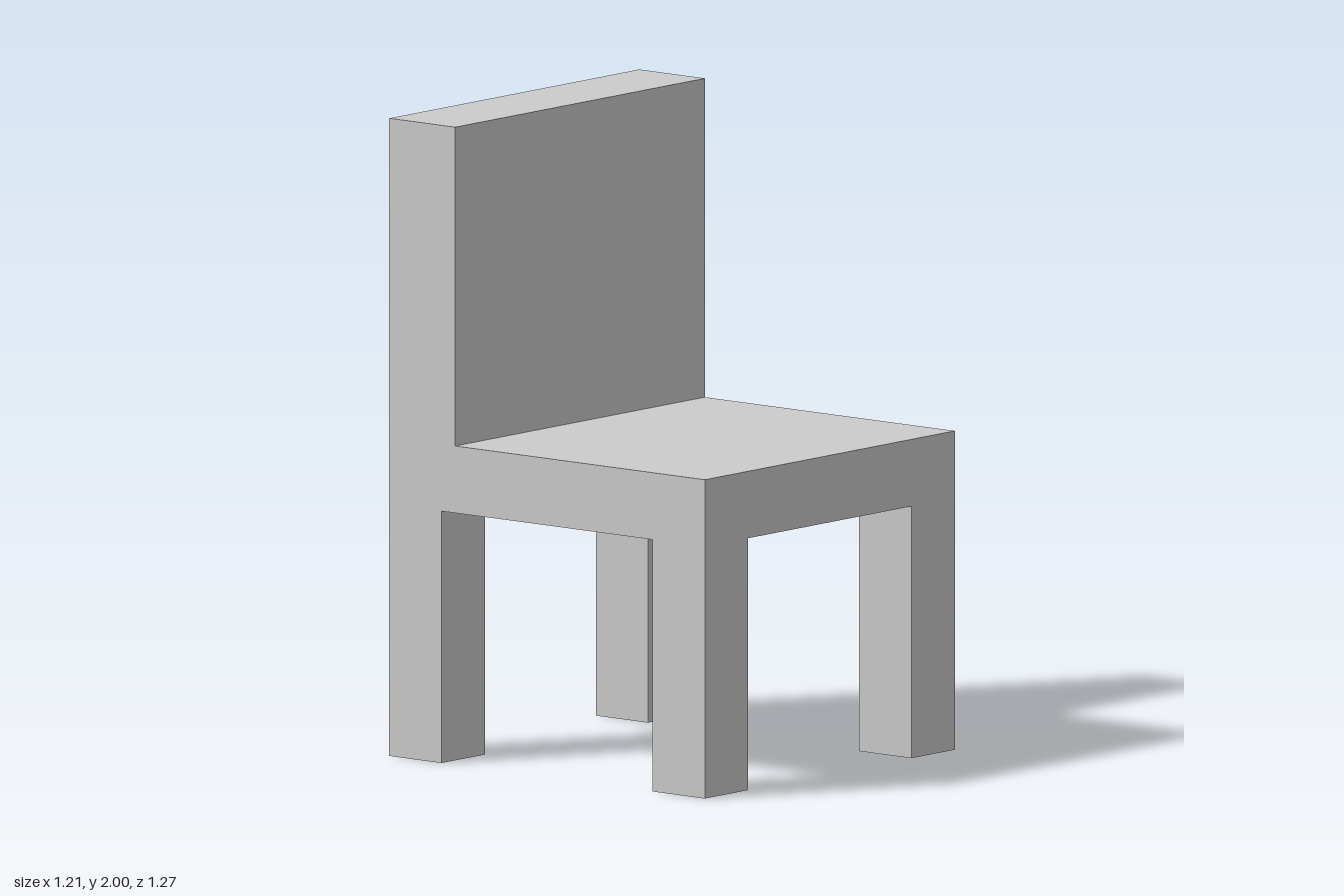
import * as THREE from 'three';

const WIDTH = 1.21, DEPTH = 1.27;
const SEAT_BOTTOM = 0.79, SEAT_TOP = 1.0, HEIGHT = 2.0;
const LEG = 0.21, BACK_THICKNESS = 0.265;

export function createModel() {
  const chair = new THREE.Group();
  chair.name = 'chair';
  const material = new THREE.MeshStandardMaterial({ color: 0xcccccc, flatShading: true });

  // Box standing between two heights
  const addBox = (name, width, depth, bottom, top, x, z) => {
    const mesh = new THREE.Mesh(new THREE.BoxGeometry(width, top - bottom, depth), material);
    mesh.name = name;
    mesh.position.set(x, (bottom + top) / 2, z);
    chair.add(mesh);
  };

  // Seat slab and the backrest rising flush from its rear edge
  addBox('seat', WIDTH, DEPTH, SEAT_BOTTOM, SEAT_TOP, 0, 0);
  addBox('backrest', WIDTH, BACK_THICKNESS, SEAT_TOP, HEIGHT, 0, (BACK_THICKNESS - DEPTH) / 2);

  // Four square legs flush with the seat corners
  for (const [side, sx] of [['Left', 1], ['Right', -1]]) {
    for (const [end, sz] of [['front', 1], ['back', -1]]) {
      addBox(`${end}${side}Leg`, LEG, LEG, 0, SEAT_BOTTOM, sx * (WIDTH - LEG) / 2, sz * (DEPTH - LEG) / 2);
    }
  }
  return chair;
}
